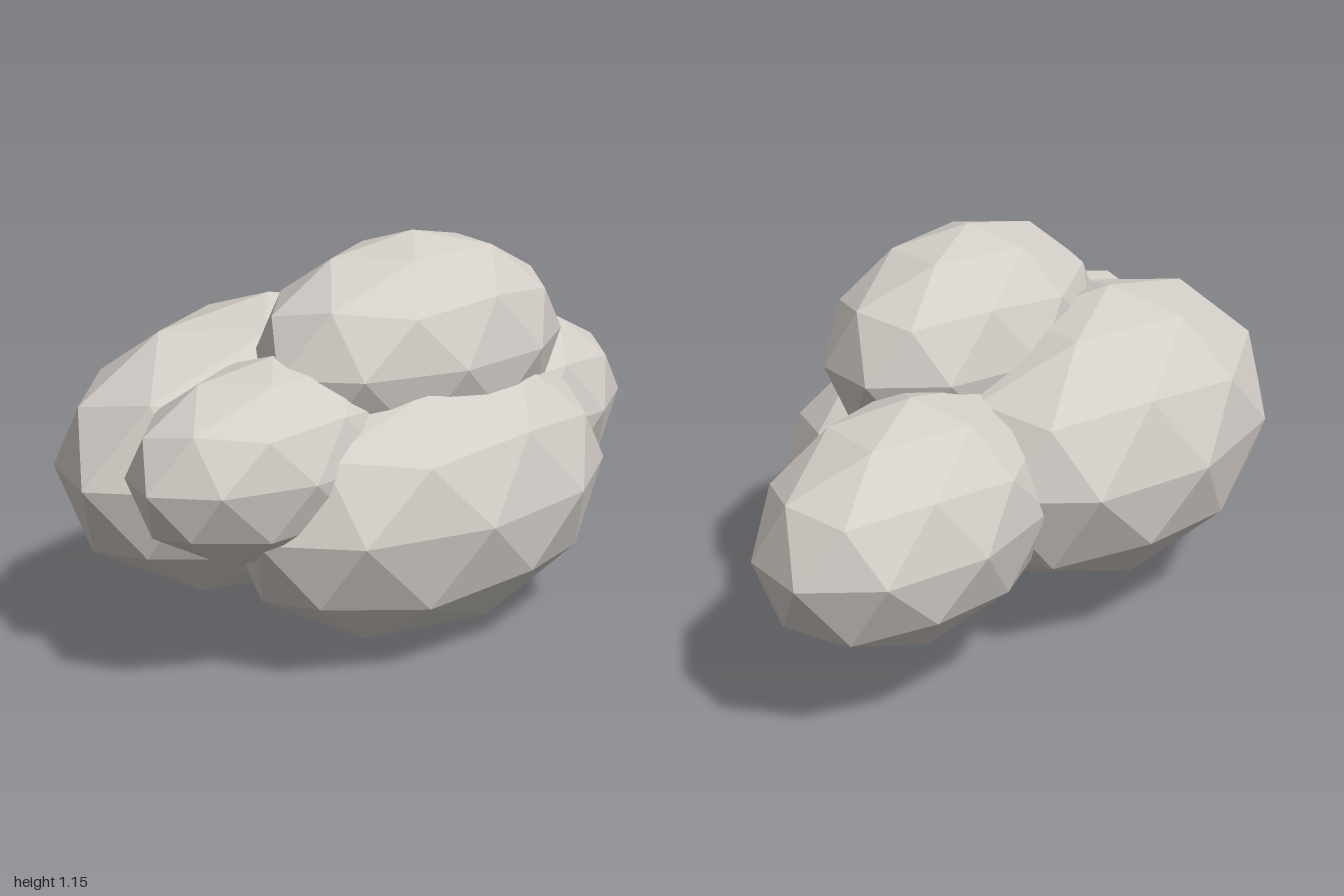
import * as THREE from 'three';

export function createModel() {
  const model = new THREE.Group();
  model.name = 'cloud';
  const cloudGrey = new THREE.MeshStandardMaterial({ color: 0xd4cec8, flatShading: true });
  cloudGrey.name = 'cloudGrey';

  // one faceted puff: corner pointing up, stretched, then turned to the cloud's diagonal
  const puff = new THREE.IcosahedronGeometry(1, 1);
  puff.rotateZ(Math.atan(2 / (1 + Math.sqrt(5))));
  puff.scale(0.351, 0.338, 0.603);
  puff.rotateY(THREE.MathUtils.degToRad(-56.3));

  // name, size, centre
  const puffs = [
    ['topPuff', 1.0, [0.042, 0.813, 0.142]],
    ['frontPuff', 1.222, [0.045, 0.413, 0.241]],
    ['backRightPuff', 1.285, [-0.337, 0.524, -0.052]],
    ['backLeftPuff', 1.0, [0.478, 0.482, -0.34]],
    ['smallRightPuff', 0.835, [-0.453, 0.587, 0.413]],
  ];
  for (const [name, size, centre] of puffs) {
    const mesh = new THREE.Mesh(puff, cloudGrey);
    mesh.name = name;
    mesh.scale.setScalar(size);
    mesh.position.set(...centre);
    model.add(mesh);
  }
  return model;
}
